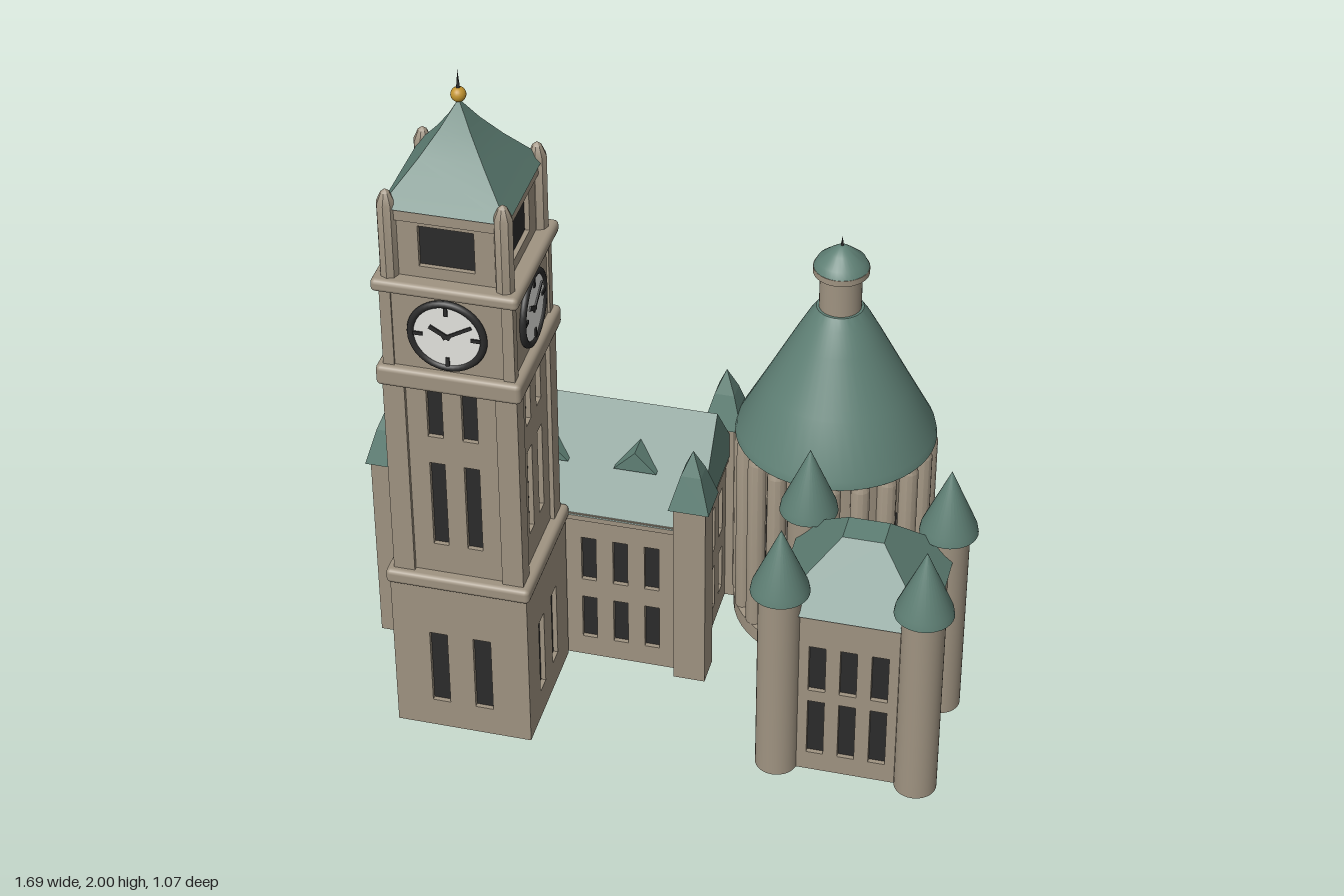
import * as THREE from 'three';
import { toCreasedNormals } from 'three/addons/utils/BufferGeometryUtils.js';
import { RoundedBoxGeometry } from 'three/addons/geometries/RoundedBoxGeometry.js';

const material = (name, color) => {
  const m = new THREE.MeshStandardMaterial({ color });
  m.name = name;
  return m;
};

export function createModel() {
  const stone = material('stone', 0x9f9381);
  const copper = material('green copper', 0x5f8075);
  const dark = material('dark glass', 0x2b2b2b);
  const white = material('clock white', 0xe2e2de);
  const gold = material('gold', 0xc2942f);

  // Helpers
  const group = (parent, name, x = 0, z = 0, turn = 0) => {
    const g = new THREE.Group();
    g.name = name;
    g.position.set(x, 0, z);
    g.rotation.y = turn;
    parent.add(g);
    return g;
  };
  const add = (parent, name, geo, mat, x = 0, y = 0, z = 0) => {
    const m = new THREE.Mesh(geo, mat);
    m.name = name;
    m.position.set(x, y, z);
    parent.add(m);
    return m;
  };
  // Box standing from y0 to y1
  const block = (parent, name, w, d, y0, y1, mat, x = 0, z = 0) =>
    add(parent, name, new THREE.BoxGeometry(w, y1 - y0, d), mat, x, (y0 + y1) / 2, z);
  const ledge = (parent, name, w, d, y0, y1) =>
    add(parent, name, new RoundedBoxGeometry(w, y1 - y0, d, 2, 0.013), stone, 0, (y0 + y1) / 2, 0);
  // Turned profile of [radius, y]
  const turned = (parent, name, pts, mat, x = 0, z = 0, sides = 32) =>
    add(parent, name, toCreasedNormals(new THREE.LatheGeometry(
      pts.map(p => new THREE.Vector2(p[0], p[1])), sides), 0.6), mat, x, 0, z);
  // Square roof from a profile of [half width, y]
  const squareRoof = (parent, name, pts, mat, x = 0, z = 0) =>
    add(parent, name, toCreasedNormals(new THREE.LatheGeometry(
      pts.map(p => new THREE.Vector2(p[0] * Math.SQRT2, p[1])), 4, Math.PI / 4), 0.1), mat, x, 0, z);
  const outline = pts => pts.map(p => new THREE.Vector2(p[0], p[1]));
  const extrude = (shape, depth) => new THREE.ExtrudeGeometry(shape, { depth, bevelEnabled: false });
  const rectangle = (x0, x1, y0, y1) => outline([[x0, y0], [x1, y0], [x1, y1], [x0, y1]]);
  // Runs fn for each side of a block: group whose +z faces outward, and its index
  const eachSide = (parent, name, fn) => {
    for (let i = 0; i < 4; i++) fn(group(parent, name, 0, 0, i * Math.PI / 2), i);
  };
  // Wall slab with recessed windows; its outer surface lies at z = dist
  const wall = (parent, width, y0, y1, dist, columns, w, rows) => {
    const shape = new THREE.Shape(rectangle(-width / 2, width / 2, y0, y1));
    for (const u of columns) for (const [a, b] of rows) {
      shape.holes.push(new THREE.Path(rectangle(u - w / 2, u + w / 2, a, b)));
      block(parent, 'window', w, 0.006, a, b, dark, u, dist - 0.016);
    }
    add(parent, 'wall', extrude(shape, 0.02), stone, 0, 0, dist - 0.02);
  };

  const model = new THREE.Group();
  model.name = 'civicBuilding';

  // Clock tower
  const tower = group(model, 'clockTower', -0.48, 0.337);
  ledge(tower, 'lowerLedge', 0.4, 0.4, 0.488, 0.532);
  ledge(tower, 'middleLedge', 0.388, 0.388, 1.14, 1.2);
  block(tower, 'clockStage', 0.34, 0.34, 1.2, 1.44, stone);
  ledge(tower, 'upperLedge', 0.388, 0.388, 1.43, 1.467);
  block(tower, 'belfryCornice', 0.32, 0.32, 1.635, 1.672, stone);
  for (const sx of [-1, 1]) for (const sz of [-1, 1]) {
    block(tower, 'pilaster', 0.058, 0.058, 0.53, 1.15, stone, sx * 0.151, sz * 0.151);
    block(tower, 'clockCorner', 0.03, 0.03, 1.2, 1.43, stone, sx * 0.161, sz * 0.161);
    turned(tower, 'pinnacle', [[0.025, 1.46], [0.025, 1.68], [0.012, 1.71], [0, 1.72]],
      stone, sx * 0.152, sz * 0.152, 8);
  }
  eachSide(tower, 'towerFace', face => {
    wall(face, 0.38, 0, 0.5, 0.19, [-0.062, 0.06], 0.05, [[0.09, 0.33]]);
    wall(face, 0.336, 0.53, 1.15, 0.168, [-0.047, 0.047], 0.042, [[0.625, 0.895], [0.98, 1.135]]);
    wall(face, 0.3, 1.46, 1.64, 0.15, [0], 0.147, [[1.5, 1.62]]);
    // Clock: rim, dial, hour marks and hands
    const clock = group(face, 'clock');
    clock.position.set(0, 1.315, 0.17);
    const dial = new THREE.CylinderGeometry(0.092, 0.092, 0.009, 40).rotateX(Math.PI / 2);
    add(clock, 'clockDial', dial, white, 0, 0, 0.0045);
    add(clock, 'clockRim', new THREE.TorusGeometry(0.097, 0.01, 8, 40), dark, 0, 0, 0.006);
    const bar = (name, angle, r0, r1, w) => {
      const geo = new THREE.BoxGeometry(w, r1 - r0, 0.004).translate(0, (r0 + r1) / 2, 0);
      add(clock, name, geo, dark, 0, 0, 0.011).rotation.z = -angle;
    };
    for (let i = 0; i < 4; i++) bar('hourMark', i * Math.PI / 2, 0.064, 0.09, 0.01);
    bar('hourHand', -Math.PI / 3, -0.01, 0.052, 0.012);
    bar('minuteHand', Math.PI / 3, -0.012, 0.076, 0.009);
  });
  squareRoof(tower, 'towerRoof', [[0, 1.668], [0.166, 1.668], [0.085, 1.775], [0.04, 1.842], [0, 1.912]], copper);
  add(tower, 'finialBall', new THREE.SphereGeometry(0.02, 20, 14), gold, 0, 1.925, 0);
  add(tower, 'finialSpike', new THREE.ConeGeometry(0.006, 0.06, 8), dark, 0, 1.965, 0);

  // Long hall with gabled roof, open underneath
  const hall = group(model, 'hall', -0.362, -0.065);
  block(hall, 'hallCornice', 0.895, 0.424, 0.485, 0.508, stone);
  const prism = (pts, length) => extrude(new THREE.Shape(outline(pts)), length);
  add(hall, 'hallRoof', prism([[-0.214, 0.502], [0.214, 0.502], [0, 0.758]], 0.9)
    .translate(0, 0, -0.45).rotateY(Math.PI / 2), copper);
  eachSide(hall, 'hallFace', (face, i) => {
    const n = i % 2 ? 3 : 8;
    const columns = Array.from({ length: n }, (_, k) => (k - (n - 1) / 2) * 0.09);
    wall(face, i % 2 ? 0.408 : 0.88, 0, 0.49, i % 2 ? 0.44 : 0.204, columns, 0.042, [[0.065, 0.21], [0.272, 0.42]]);
  });
  for (const x of [-0.25, 0, 0.25])
    add(hall, 'dormer', prism([[-0.06, 0.62], [0.06, 0.62], [0, 0.682]], 0.1), copper, x, 0, 0.032);
  for (const x of [-0.43, 0.43]) for (const z of [-0.194, 0.194]) {
    block(hall, 'cornerTurret', 0.09, 0.09, 0, 0.605, stone, x, z);
    squareRoof(hall, 'cornerTurretRoof', [[0, 0.598], [0.057, 0.598], [0.028, 0.7], [0, 0.77]], copper, x, z);
  }

  // Round drum with deep columns and conical roof
  const drum = group(model, 'rotunda', 0.382, -0.256);
  turned(drum, 'drumPlinth', [[0, 0], [0.28, 0], [0.28, 0.045], [0.24, 0.05]], stone, 0, 0, 48);
  turned(drum, 'drumWall', [[0.245, 0.04], [0.245, 0.63]], stone, 0, 0, 48);
  for (let i = 0; i < 20; i++) {
    const bay = group(drum, 'drumBay', 0, 0, (i + 0.5) * Math.PI / 10);
    turned(bay, 'drumColumn', [[0.027, 0.045], [0.027, 0.605], [0.014, 0.632], [0, 0.64]], stone, 0, 0.257, 12);
    const gap = group(drum, 'drumGap', 0, 0, i * Math.PI / 10);
    block(gap, 'drumWindow', 0.02, 0.009, 0.08, 0.47, dark, 0, 0.242);
  }
  turned(drum, 'drumRoof', [[0, 0.622], [0.281, 0.622], [0.276, 0.645], [0.2, 0.79], [0.12, 0.945],
    [0.085, 1.01], [0.065, 1.04], [0, 1.04]], copper, 0, 0, 48);
  turned(drum, 'lantern', [[0.058, 1.03], [0.058, 1.14], [0.077, 1.152], [0.077, 1.17], [0, 1.172]], stone);
  turned(drum, 'lanternCap', [[0, 1.168], [0.077, 1.168], [0.066, 1.19], [0.035, 1.216], [0.01, 1.235], [0, 1.237]], copper);
  add(drum, 'lanternSpike', new THREE.ConeGeometry(0.006, 0.04, 8), dark, 0, 1.245, 0);

  // Front pavilion with round corner turrets, open underneath
  const pavilion = group(model, 'pavilion', 0.572, 0.264);
  // Hipped roof: a box whose top is drawn in to a small flat
  const hip = new THREE.BoxGeometry(0.43, 0.165, 0.395).toNonIndexed();
  const p = hip.attributes.position;
  for (let i = 0; i < p.count; i++)
    if (p.getY(i) > 0) p.setXYZ(i, p.getX(i) * 0.26, p.getY(i), p.getZ(i) * 0.22);
  hip.computeVertexNormals();
  add(pavilion, 'pavilionRoof', hip, copper, 0, 0.6185, 0);
  eachSide(pavilion, 'pavilionFace', (face, i) =>
    wall(face, i % 2 ? 0.375 : 0.41, 0, 0.54, i % 2 ? 0.205 : 0.1875,
      [-0.085, 0, 0.085], 0.046, [[0.06, 0.243], [0.28, 0.432]]));
  for (const x of [-0.192, 0.192]) for (const z of [-0.177, 0.177]) {
    turned(pavilion, 'roundTurret', [[0, 0], [0.058, 0], [0.058, 0.605]], stone, x, z);
    turned(pavilion, 'roundTurretRoof', [[0, 0.6], [0.08, 0.6], [0.076, 0.622], [0, 0.8]], copper, x, z);
  }
  return model;
}
